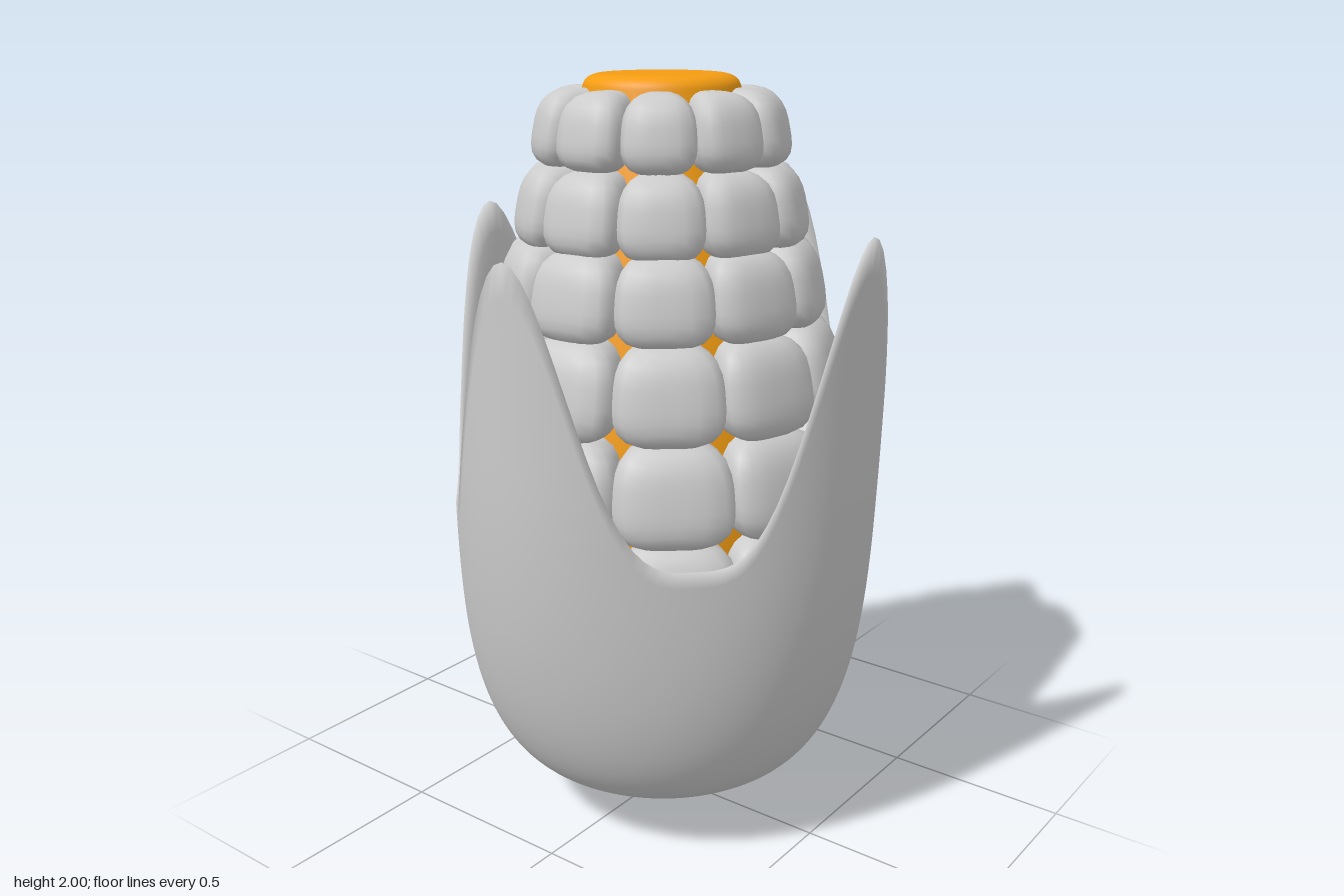
import * as THREE from 'three';
import { mergeVertices } from 'three/addons/utils/BufferGeometryUtils.js';

const grey = new THREE.MeshStandardMaterial({ color: 0xcccccc });
const orange = new THREE.MeshStandardMaterial({ color: 0xf39c12 });
const CENTRE = -0.013;

function lathe(name, points, material, segments = 40) {
  const curve = new THREE.SplineCurve(points.map(([r, y]) => new THREE.Vector2(r, y)));
  const profile = curve.getPoints(points.length * 5);
  profile.forEach((p) => { p.x = Math.max(0, p.x); });
  const mesh = new THREE.Mesh(new THREE.LatheGeometry(profile, segments), material);
  mesh.name = name;
  mesh.position.x = CENTRE;
  return mesh;
}

// Rounded wedge: outer radius R, half height hh, growing wider outwards
function kernelGeometry(R, hh) {
  const sphere = new THREE.SphereGeometry(1, 22, 16);
  sphere.deleteAttribute('uv');
  sphere.deleteAttribute('normal');
  const geo = mergeVertices(sphere, 1e-4);
  const pos = geo.attributes.position;
  const depth = 0.095, n = 3.2;
  const p = new THREE.Vector3();
  for (let i = 0; i < pos.count; i++) {
    p.fromBufferAttribute(pos, i);
    const len = (Math.abs(p.x) ** n + Math.abs(p.y) ** n + Math.abs(p.z) ** n) ** (1 / n);
    p.divideScalar(len);
    const y = p.y * hh;
    const r = R - depth + depth * p.z - 0.2 * y;
    pos.setXYZ(i, p.x * r * Math.tan(Math.PI / 10) * 1.03, y, r);
  }
  geo.computeVertexNormals();
  return geo;
}

// Ten columns of kernels, each row slightly twisted
function buildKernels() {
  const group = new THREE.Group();
  group.name = 'kernels';
  const rows = [
    [1.872, 0.323, 0.095], [1.683, 0.37, 0.104], [1.492, 0.418, 0.111],
    [1.275, 0.468, 0.124], [1.037, 0.508, 0.13], [0.785, 0.525, 0.13],
  ];
  rows.forEach(([y, R, hh], row) => {
    const geo = kernelGeometry(R, hh);
    for (let i = 0; i < 10; i++) {
      const kernel = new THREE.Mesh(geo, grey);
      kernel.name = 'kernel';
      kernel.position.set(CENTRE, y, 0);
      kernel.rotation.y = Math.PI / 2 + (i * Math.PI) / 5 + row * 0.021;
      group.add(kernel);
    }
  });
  return group;
}

// Rim height: four pointed leaves on the axes with round valleys between
const TIPS = [1.69, 1.65, 1.61, 1.63];
function rimHeight(a) {
  const valley = 0.885;
  const tip = TIPS[Math.round(a / (Math.PI / 2)) % 4];
  return valley + (tip - valley) * ((1 + Math.cos(4 * a)) / 2) ** 1.8;
}

function outerRadius(y, a) {
  const k = Math.max(0, 1 - (y - 0.11) / 0.99);
  const round = 0.602 * Math.max(0, 1 - k * k) ** 0.2;
  const lift = THREE.MathUtils.smoothstep(y, 0.2, 1.0);
  const flare = 0.015 * Math.sin(a) ** 2 * THREE.MathUtils.smoothstep(y, 0.9, 1.6);
  return round * (1 - 0.06 * lift * Math.sin(2 * a) ** 2) + flare;
}

// Closed shell: up the outside, over the rim and down the inside
function buildHusk() {
  const around = 144, steps = 36;
  const position = [], index = [];
  for (let j = 0; j <= 2 * steps; j++) {
    const inside = j > steps;
    const s = (inside ? 2 * steps - j : j) / steps;
    for (let i = 0; i < around; i++) {
      const a = (i / around) * 2 * Math.PI;
      const h = rimHeight(a);
      let y = 0.11 + (h - 0.11) * s * s;
      let r = outerRadius(y, a);
      if (inside) {
        r = Math.max(0, r - 0.045 * Math.min(1, Math.sqrt((h - y) / 0.4)));
        y += 0.04 * (1 - s);
      }
      position.push(r * Math.cos(a), y, r * Math.sin(a));
    }
  }
  for (let j = 0; j < 2 * steps; j++) {
    for (let i = 0; i < around; i++) {
      const a = j * around + i, b = j * around + ((i + 1) % around);
      const c = a + around, d = b + around;
      index.push(a, c, b, b, c, d);
    }
  }
  const geo = new THREE.BufferGeometry();
  geo.setAttribute('position', new THREE.Float32BufferAttribute(position, 3));
  geo.setIndex(index);
  geo.computeVertexNormals();
  const husk = new THREE.Mesh(geo, grey);
  husk.name = 'husk';
  husk.position.x = -0.008;
  return husk;
}

export function createModel() {
  const model = new THREE.Group();
  model.name = 'cornCob';
  model.add(
    lathe('core', [[0, 0.3], [0.3, 0.35], [0.41, 0.7], [0.405, 1.04], [0.365, 1.28],
      [0.315, 1.5], [0.265, 1.7], [0.222, 1.86], [0.203, 1.95], [0.192, 1.983],
      [0.165, 1.998], [0.12, 2], [0, 2]], orange),
    buildKernels(),
    buildHusk(),
    lathe('stem', [[0, 0], [0.045, 0.004], [0.072, 0.02], [0.084, 0.05],
      [0.085, 0.09], [0.075, 0.13], [0, 0.14]], grey, 24),
  );
  return model;
}
